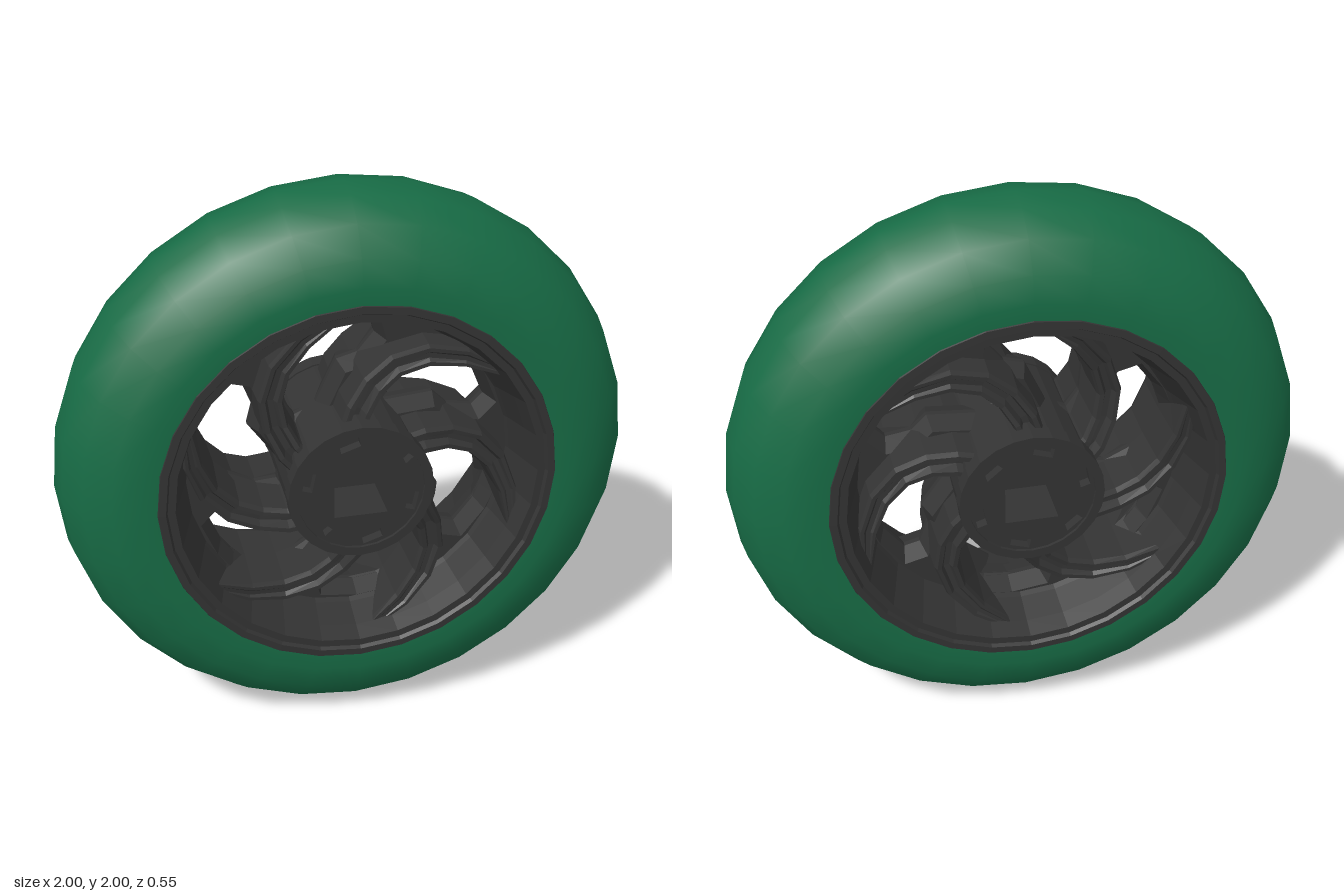
import * as THREE from 'three';

const SPOKES = 6, SEGMENTS = 28;
const rubber = new THREE.MeshStandardMaterial({ color: 0x176b45 });
const metal = new THREE.MeshStandardMaterial({ color: 0x333333, flatShading: true });

const toVectors = (list) => list.map(([x, y]) => new THREE.Vector2(x, y));

function addMesh(parent, name, geometry, material) {
  const mesh = new THREE.Mesh(geometry, material);
  mesh.name = name;
  parent.add(mesh);
  return mesh;
}

// Revolves a [radius, z] profile around the z axis
function revolve(profile) {
  return new THREE.LatheGeometry(toVectors(profile), SEGMENTS).rotateX(Math.PI / 2);
}

function disc(radius) {
  const shape = new THREE.Shape();
  shape.absarc(0, 0, radius, 0, Math.PI * 2, false);
  return shape;
}

function extrude(shape, depth, z) {
  return new THREE.ExtrudeGeometry(shape, { depth, bevelEnabled: false, curveSegments: 12 }).translate(0, 0, z);
}

function rotated(points, angle) {
  return toVectors(points).map((p) => p.rotateAround(new THREE.Vector2(), angle));
}

// Swirling spoke: grooved cross-sections lofted from hub to rim
function spokeGeometry() {
  // angle in degrees, radius, half width, half height
  const stations = [
    [157, 0.18, 0.055, 0.22], [148, 0.27, 0.055, 0.21], [140, 0.35, 0.052, 0.19], [131, 0.43, 0.05, 0.18],
    [120, 0.5, 0.046, 0.18], [108, 0.56, 0.038, 0.19], [96, 0.615, 0.02, 0.2],
  ];
  const centres = stations.map(([a, r]) => {
    const t = THREE.MathUtils.degToRad(a);
    return new THREE.Vector2(Math.cos(t) * r, Math.sin(t) * r);
  });
  const positions = [], index = [];
  const last = stations.length - 1;
  let count = 0;
  stations.forEach(([, , w, h], i) => {
    const tangent = centres[Math.min(i + 1, last)].clone().sub(centres[Math.max(i - 1, 0)]).normalize();
    const groove = h - 0.045 * (1 - i / last);
    const half = [[w, 0], [w * 0.85, h - 0.02], [w * 0.7, h], [w * 0.4, h], [w * 0.2, groove],
      [-w * 0.2, groove], [-w * 0.4, h], [-w * 0.7, h], [-w * 0.85, h - 0.02]];
    const section = [...half, ...half.map(([s, z]) => [-s, -z])];
    count = section.length;
    for (const [s, z] of section) {
      positions.push(centres[i].x - tangent.y * s, centres[i].y + tangent.x * s, z);
    }
  });
  for (let i = 0; i < last; i++) {
    for (let j = 0; j < count; j++) {
      const a = i * count + j, b = i * count + (j + 1) % count;
      index.push(a, b, a + count, b, b + count, a + count);
    }
  }
  const geometry = new THREE.BufferGeometry();
  geometry.setAttribute('position', new THREE.Float32BufferAttribute(positions, 3));
  geometry.setIndex(index);
  geometry.computeVertexNormals();
  return geometry;
}

export function createModel() {
  const model = new THREE.Group();
  model.name = 'wheel';
  const wheel = new THREE.Group();
  wheel.name = 'wheelAssembly';
  wheel.position.y = 1;
  model.add(wheel);

  // Rounded tyre
  const shoulder = [[0.66, 0.268], [0.74, 0.273], [0.83, 0.252], [0.92, 0.19], [0.98, 0.1]];
  addMesh(wheel, 'tyre', revolve([
    ...shoulder.map(([r, z]) => [r, -z]), [1, 0], ...[...shoulder].reverse(),
  ]), rubber);

  // Rim with raised lips and a barrel narrowing to the middle
  const lip = [[0.685, 0.262], [0.68, 0.274], [0.655, 0.275], [0.648, 0.262], [0.622, 0.262],
    [0.602, 0.2], [0.572, 0.1]];
  addMesh(wheel, 'rim', revolve([
    ...lip, [0.535, 0], ...[...lip].reverse().map(([r, z]) => [r, -z]), lip[0],
  ]), metal);

  // Middle web with swept openings
  const opening = [[-0.16, 0.52], [-0.03, 0.535], [0.085, 0.52], [0.1, 0.465], [0.043, 0.395], [-0.03, 0.375],
    [-0.107, 0.21], [-0.176, 0.18], [-0.22, 0.245], [-0.23, 0.395]];
  const web = disc(0.62);
  for (let i = 0; i < SPOKES; i++) {
    web.holes.push(new THREE.Path(rotated(opening, i * Math.PI * 2 / SPOKES)));
  }
  addMesh(wheel, 'web', new THREE.ExtrudeGeometry(web, {
    depth: 0.02, bevelThickness: 0.07, bevelSize: 0.025, bevelOffset: -0.025, bevelSegments: 1, curveSegments: 16,
  }).translate(0, 0, -0.01), metal);

  // Spokes
  const spoke = spokeGeometry();
  for (let i = 0; i < SPOKES; i++) {
    addMesh(wheel, 'spoke', spoke, metal).rotation.z = i * Math.PI * 2 / SPOKES;
  }

  // Hub with square axle hole, pocketed cover plates and raised edges
  const q = 0.092;
  const axleHole = () => new THREE.Path(toVectors([[-q, -q], [-q, q], [q, q], [q, -q]]));
  const core = disc(0.245);
  core.holes.push(axleHole());
  addMesh(wheel, 'hubCore', extrude(core, 0.46, -0.23), metal);

  const cover = disc(0.225);
  cover.holes.push(axleHole());
  const pocket = [[-0.035, 0.165], [-0.035, 0.2], [0.035, 0.208], [0.035, 0.173]];
  for (let i = 0; i < SPOKES; i++) {
    cover.holes.push(new THREE.Path(rotated(pocket, THREE.MathUtils.degToRad(12 + i * 60))));
  }
  const edge = disc(0.25);
  edge.holes.push(new THREE.Path().absarc(0, 0, 0.218, 0, Math.PI * 2, true));
  for (const side of [1, -1]) {
    addMesh(wheel, 'hubCover', extrude(cover, 0.035, side > 0 ? 0.23 : -0.265), metal);
    addMesh(wheel, 'hubEdge', extrude(edge, 0.06, side > 0 ? 0.215 : -0.275), metal);
  }
  return model;
}
